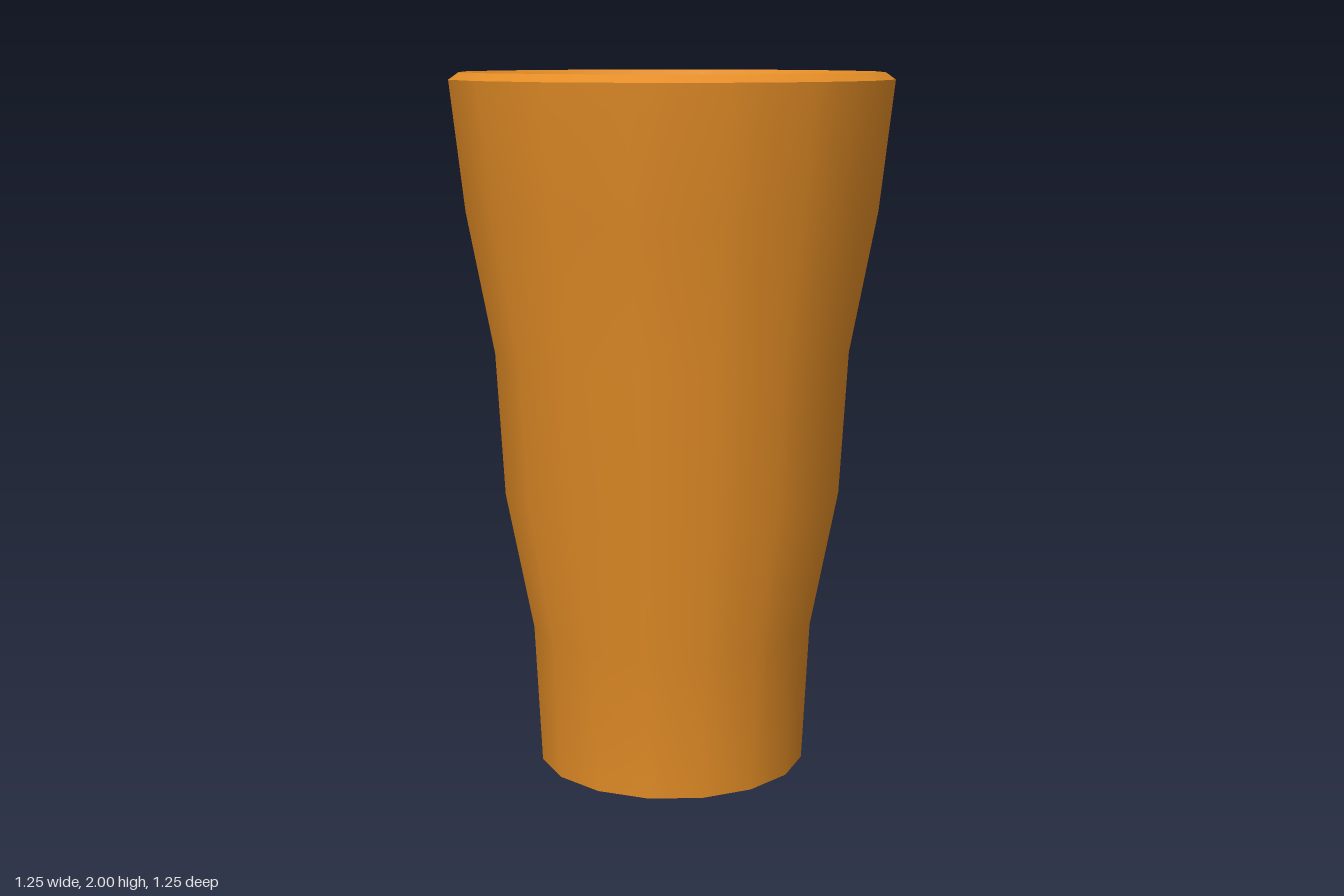
import * as THREE from 'three';

const SIDES = 16;

export function createModel() {
  const group = new THREE.Group();
  group.name = 'tumbler';

  const amber = new THREE.MeshStandardMaterial({ color: 0xe28c26, side: THREE.DoubleSide });
  amber.name = 'amber';

  // Turns a [radius, height] profile into a named surface of revolution
  const turn = (name, profile) => {
    const points = profile.map(([r, y]) => new THREE.Vector2(r, y));
    const mesh = new THREE.Mesh(new THREE.LatheGeometry(points, SIDES), amber);
    mesh.name = name;
    group.add(mesh);
  };

  // Stepped outer wall, open underneath
  turn('outerWall', [
    [0.39, 0], [0.41, 0.41], [0.487, 0.81], [0.51, 1.22], [0.585, 1.62], [0.625, 1.98],
  ]);

  // Bevelled lip
  turn('rim', [[0.625, 1.98], [0.597, 2]]);

  // Inner wall: sloped shoulder, then a steep drop to the floor
  turn('innerWall', [[0.597, 2], [0.507, 1.92], [0.476, 1.58]]);

  // Flat inner floor
  const floor = new THREE.Mesh(new THREE.CircleGeometry(0.476, SIDES), amber);
  floor.name = 'innerFloor';
  floor.rotation.x = -Math.PI / 2;
  floor.position.y = 1.58;
  group.add(floor);

  return group;
}
